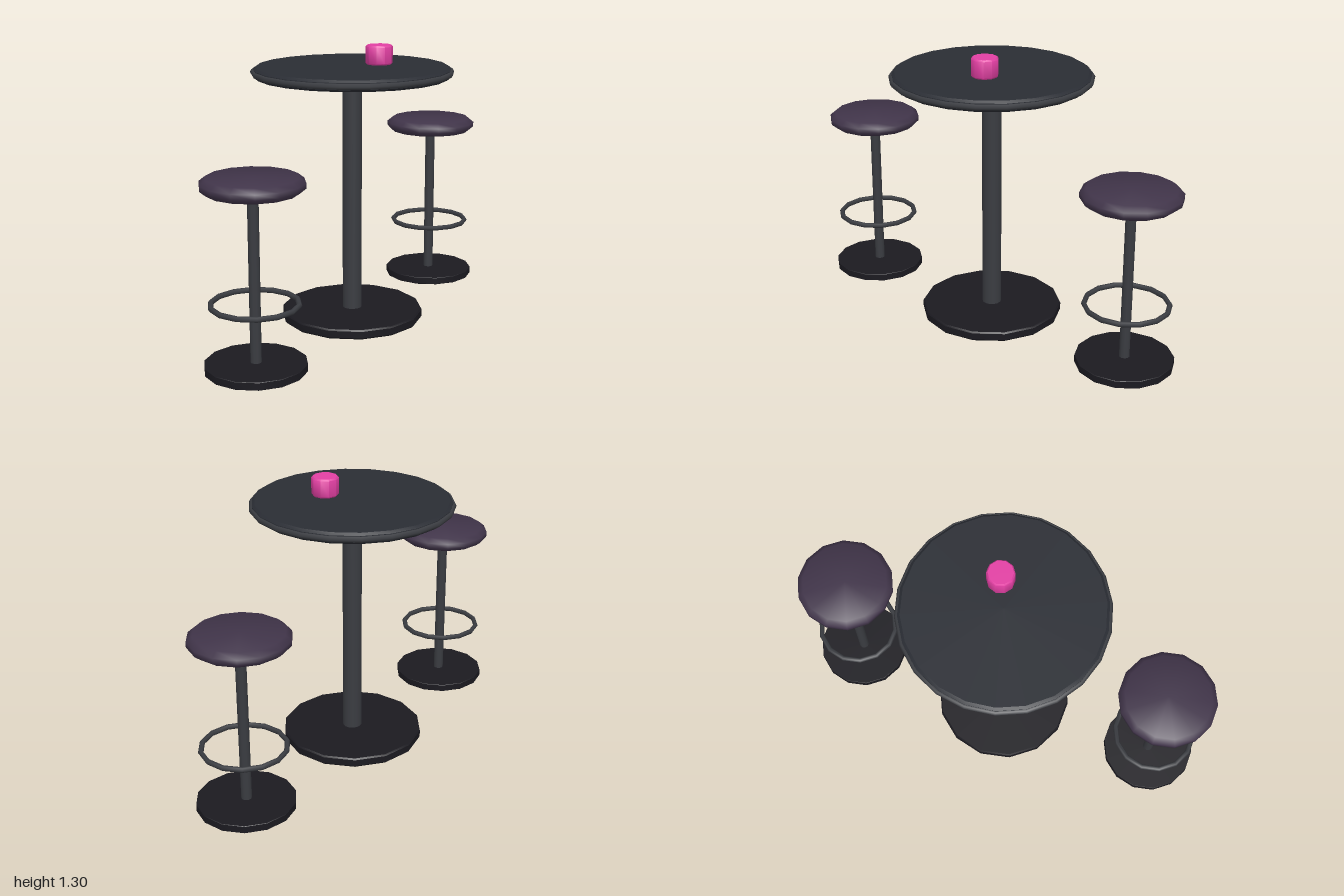
import * as THREE from 'three';
import { toCreasedNormals } from 'three/addons/utils/BufferGeometryUtils.js';

const mat = (color) => new THREE.MeshStandardMaterial({ color });
const materials = {
  top: mat(0x2a2d34),
  base: mat(0x1b1a20),
  metal: mat(0x3a3c41),
  seat: mat(0x403449),
  cup: mat(0xe23fa3),
};

function add(parent, name, geometry, material) {
  const mesh = new THREE.Mesh(geometry, material);
  mesh.name = name;
  parent.add(mesh);
  return mesh;
}

// Solid disc from y0 to y1 with chamfered rims, a corner pointing along x
function disc(radius, y0, y1, bevelR, bevelY, sides, crease = 0.6) {
  const profile = [
    [0, y0], [radius - bevelR, y0], [radius, y0 + bevelY],
    [radius, y1 - bevelY], [radius - bevelR, y1], [0, y1],
  ].map(([x, y]) => new THREE.Vector2(x, y));
  const g = new THREE.LatheGeometry(profile, sides);
  g.rotateY(Math.PI / 2);
  return toCreasedNormals(g, crease);
}

function pole(radius, y0, y1, sides) {
  const g = new THREE.CylinderGeometry(radius, radius, y1 - y0, sides);
  g.rotateY(Math.PI / 2);
  g.translate(0, (y0 + y1) / 2, 0);
  return g;
}

function ring(radius, tube, y, tubeSides, sides) {
  const g = new THREE.TorusGeometry(radius, tube, tubeSides, sides);
  g.rotateX(Math.PI / 2);
  g.translate(0, y, 0);
  return g;
}

function createTable() {
  const table = new THREE.Group();
  table.name = 'table';
  add(table, 'tableBase', disc(0.333, 0, 0.045, 0.006, 0.007, 14), materials.base);
  add(table, 'tablePole', pole(0.045, 0.04, 1.14, 14), materials.metal);
  add(table, 'tableTop', disc(0.452, 1.15, 1.2, 0.012, 0.01, 22), materials.top);
  add(table, 'tableRim', ring(0.452, 0.014, 1.175, 6, 22), materials.metal);
  return table;
}

function createStool() {
  const stool = new THREE.Group();
  add(stool, 'stoolBase', disc(0.222, 0, 0.035, 0.002, 0.002, 14), materials.base);
  add(stool, 'stoolPole', pole(0.024, 0.03, 0.78, 10), materials.metal);
  add(stool, 'footRing', ring(0.188, 0.012, 0.293, 6, 14), materials.metal);
  add(stool, 'seat', disc(0.222, 0.775, 0.84, 0.026, 0.021, 14, 1.0), materials.seat);
  return stool;
}

export function createModel() {
  const model = new THREE.Group();
  model.name = 'barTableSet';
  model.add(createTable());

  // One stool in front and one behind
  for (const [name, side] of [['frontStool', 1], ['backStool', -1]]) {
    const stool = createStool();
    stool.name = name;
    stool.position.z = side * 0.783;
    model.add(stool);
  }

  // Small cup floating just above the table top
  const cup = add(model, 'cup', disc(0.062, 1.21, 1.298, 0.006, 0.007, 10, 0.75), materials.cup);
  cup.position.set(0.11, 0, -0.055);
  return model;
}
